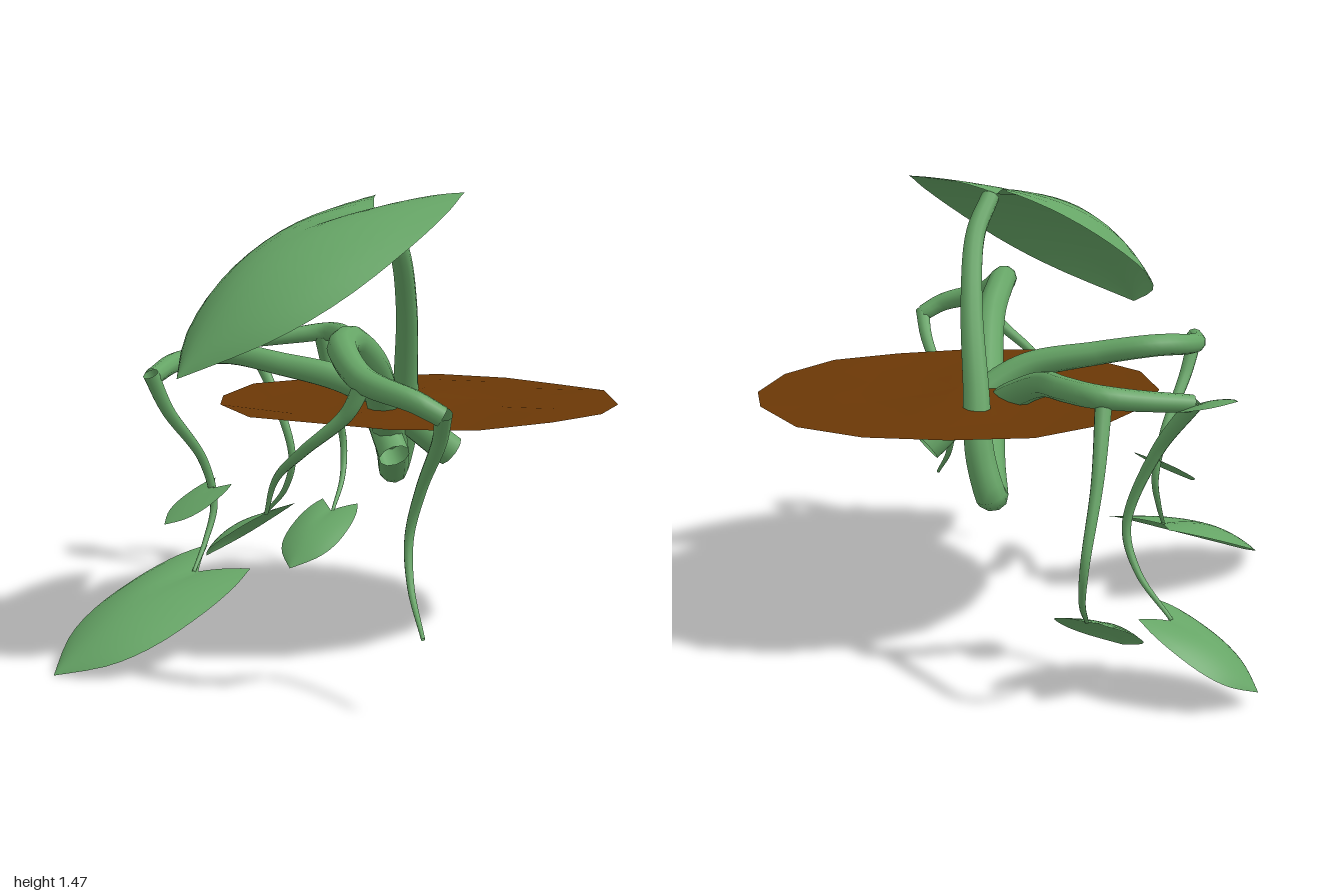
import * as THREE from 'three';

const green = new THREE.MeshStandardMaterial({ color: 0x66a566, side: THREE.DoubleSide });
const brown = new THREE.MeshStandardMaterial({ color: 0x6b3806, side: THREE.DoubleSide });
const vec = (p) => new THREE.Vector3(...p);

// Smooth tube through points; radii are spread evenly along its length
function stem(name, points, radii, rings = 40) {
  const curve = new THREE.CatmullRomCurve3(points.map(vec));
  const sides = 10;
  const geo = new THREE.TubeGeometry(curve, rings, 1, sides);
  const pos = geo.attributes.position;
  const v = new THREE.Vector3();
  for (let i = 0; i <= rings; i++) {
    const centre = curve.getPointAt(i / rings);
    const f = (i / rings) * (radii.length - 1);
    const k = Math.min(Math.floor(f), radii.length - 2);
    const r = THREE.MathUtils.lerp(radii[k], radii[k + 1], f - k);
    for (let j = 0; j <= sides; j++) {
      const n = i * (sides + 1) + j;
      v.fromBufferAttribute(pos, n).sub(centre).multiplyScalar(r).add(centre);
      pos.setXYZ(n, v.x, v.y, v.z);
    }
  }
  const mesh = new THREE.Mesh(geo, green);
  mesh.name = name;
  return mesh;
}

// Half outline of a heart-shaped leaf: x along the midrib, y across
const leafEdge = new THREE.SplineCurve([
  [-0.21, 0.68], [-0.04, 0.9], [0.21, 1.02], [0.52, 0.98], [0.77, 0.68], [1, 0],
].map(([x, y]) => new THREE.Vector2(x, y)));

// Domed leaf from its notch to its tip, with drooping lobes; half is the half-width vector
function leaf(name, notch, tip, half, arch) {
  const base = vec(notch);
  const along = vec(tip).sub(base);
  const across = vec(half);
  const up = along.clone().cross(across).normalize();
  if (up.y < 0) { up.negate(); across.negate(); }
  const rows = 16, cols = 12;
  const positions = [], index = [];
  for (let i = 0; i <= rows; i++) {
    const t = i / rows;
    const edge = leafEdge.getPoint(t);
    for (let j = 0; j <= cols; j++) {
      const w = (j / cols) * 2 - 1;
      const s = THREE.MathUtils.lerp(t, edge.x, Math.abs(w));
      const dome = Math.sin(Math.PI * t) * (1 - w * w);
      const droop = 0.42 * (w * (1 - t)) ** 2;
      const p = base.clone().addScaledVector(along, s)
        .addScaledVector(across, edge.y * w).addScaledVector(up, arch * (dome - droop));
      positions.push(p.x, p.y, p.z);
      if (i < rows && j < cols) {
        const a = i * (cols + 1) + j, b = a + cols + 1;
        index.push(a, b, a + 1, b, b + 1, a + 1);
      }
    }
  }
  const geo = new THREE.BufferGeometry();
  geo.setAttribute('position', new THREE.Float32BufferAttribute(positions, 3));
  geo.setIndex(index);
  geo.computeVertexNormals();
  const mesh = new THREE.Mesh(geo, green);
  mesh.name = name;
  return mesh;
}

// Thin, slightly uneven round of soil
function soil() {
  const geo = new THREE.RingGeometry(0.001, 0.637, 16, 4).rotateX(-Math.PI / 2);
  const pos = geo.attributes.position;
  for (let i = 0; i < pos.count; i++) {
    const x = pos.getX(i), z = pos.getZ(i);
    pos.setY(i, 0.011 * Math.sin(9 * x + 2) * Math.cos(7 * z));
  }
  geo.computeVertexNormals();
  const mesh = new THREE.Mesh(geo, brown);
  mesh.scale.x = 1.035;
  mesh.position.set(0.28, 0.795, 0.055);
  mesh.name = 'soilDisc';
  return mesh;
}

export function createModel() {
  const group = new THREE.Group();
  group.add(
    soil(),

    // Stem that rises to the large leaf, doubles back below the soil and arches forward
    stem('bentStem', [
      [0.12, 1.41, 0.17], [0.2, 1.3, 0.1], [0.265, 1.1, -0.03], [0.3, 0.85, -0.155],
      [0.315, 0.65, -0.225], [0.285, 0.515, -0.245], [0.24, 0.59, -0.1], [0.13, 0.8, 0.19],
      [0.03, 0.965, 0.41], [-0.07, 1.05, 0.56], [-0.125, 1.04, 0.68], [-0.1, 0.97, 0.82],
      [0.02, 0.92, 0.94], [0.09, 0.88, 0.96],
    ], [0.03, 0.037, 0.048, 0.058, 0.054, 0.046, 0.03], 90),

    // Stem to the right side leaf
    stem('sideStem', [
      [0.395, 0.62, 0.06], [0.2, 0.77, 0.06], [0.05, 0.86, 0.03], [-0.15, 0.91, -0.08],
      [-0.32, 0.94, -0.17], [-0.48, 0.925, -0.13], [-0.6, 0.9, 0.08],
    ], [0.055, 0.05, 0.04, 0.035, 0.028], 50),

    // Stem that leans to the back
    stem('backStem', [
      [0.18, 0.625, 0.14], [0.16, 0.75, 0], [0.155, 0.84, -0.2], [0.175, 0.91, -0.42],
      [0.2, 0.94, -0.62], [0.165, 0.945, -0.75], [0.05, 0.93, -0.79], [-0.12, 0.91, -0.81],
    ], [0.052, 0.046, 0.04, 0.036, 0.026], 50),
  );

  // Thin hanging tendrils
  const tendrils = {
    sideTendril: [[-0.605, 0.91, 0.08], [-0.55, 0.79, 0.04], [-0.42, 0.6, -0.05],
      [-0.385, 0.45, -0.06], [-0.42, 0.34, -0.02], [-0.47, 0.25, 0.04]],
    backTendrilA: [[-0.125, 0.91, -0.81], [-0.06, 0.74, -0.7], [0, 0.5, -0.63],
      [-0.015, 0.37, -0.68], [-0.07, 0.25, -0.8]],
    backTendrilB: [[0.14, 0.93, -0.76], [0.2, 0.72, -0.85], [0.26, 0.5, -0.9],
      [0.245, 0.37, -0.85], [0.18, 0.26, -0.74]],
    frontTendrilA: [[0.09, 0.89, 0.97], [0.1, 0.8, 0.9], [0.075, 0.65, 0.81],
      [0.05, 0.5, 0.775], [0.04, 0.37, 0.83], [0.04, 0.25, 0.96]],
    frontTendrilB: [[-0.1, 0.96, 0.82], [-0.14, 0.87, 0.79], [-0.25, 0.75, 0.7],
      [-0.3, 0.64, 0.55], [-0.315, 0.53, 0.49]],
  };
  for (const [name, points] of Object.entries(tendrils)) {
    group.add(stem(name, points, [0.026, 0.018, 0.013, 0.006]));
  }

  // Leaves
  group.add(
    leaf('largeLeaf', [0.11, 1.42, 0.14], [-0.585, 0.95, 0.53], [0.125, 0.01, 0.32], 0.13),
    leaf('sideLeaf', [-0.455, 0.25, 0.04], [-0.945, 0.01, 0.29], [0.07, -0.015, 0.205], 0.05),
    leaf('backLeafA', [-0.06, 0.25, -0.8], [-0.27, 0.055, -0.975], [-0.09, 0, 0.095], 0.035),
    leaf('backLeafB', [0.175, 0.26, -0.75], [-0.025, 0.09, -0.56], [0.08, 0, 0.09], 0.03),
    leaf('smallSideLeaf', [-0.39, 0.51, -0.04], [-0.56, 0.405, 0.01], [0.025, 0, 0.09], 0.005),
    leaf('smallBackLeaf', [-0.12, 0.9, -0.81], [-0.2, 0.935, -0.93], [-0.055, 0, 0.04], 0.01),
  );
  return group;
}
